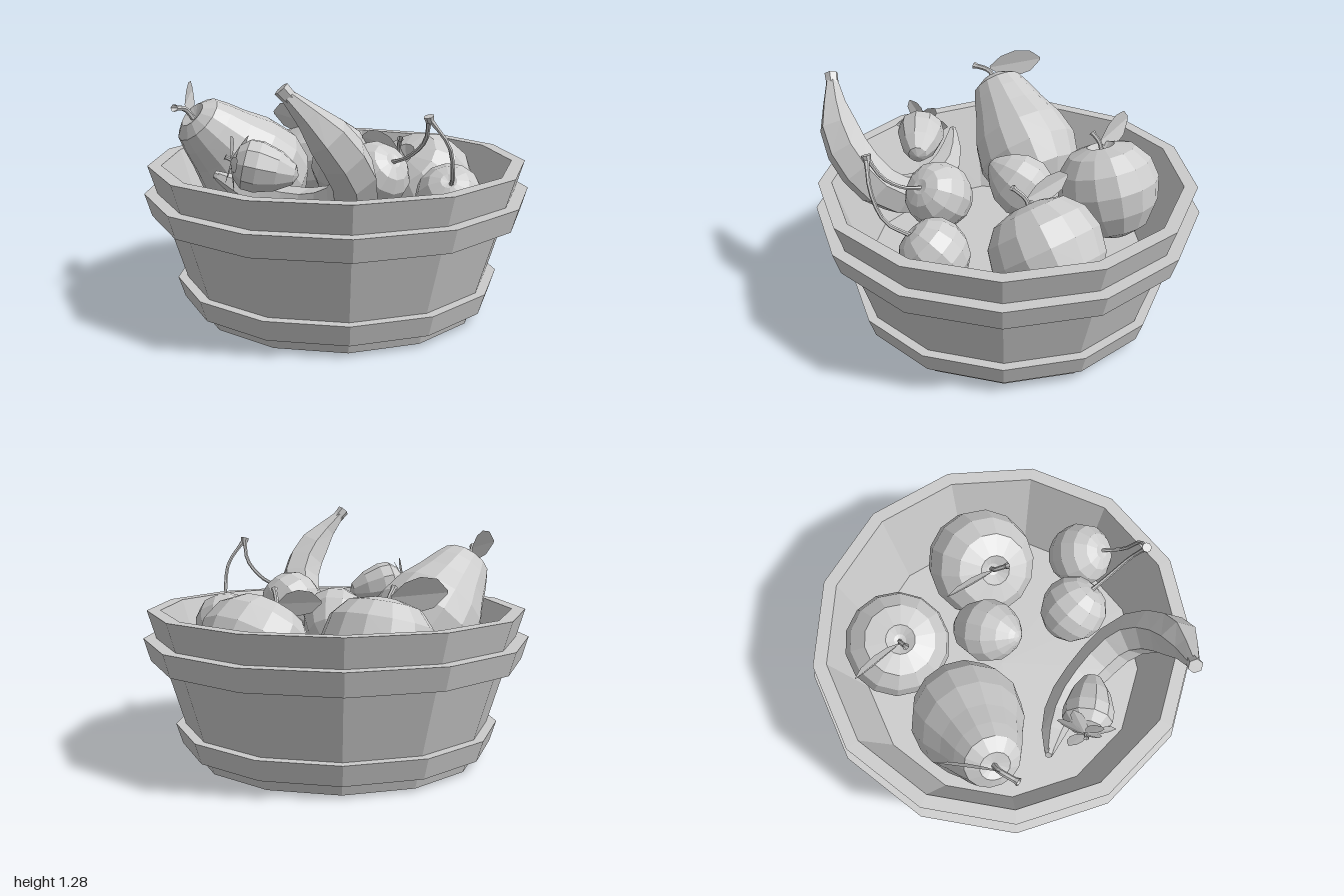
import * as THREE from 'three';

const V = (p) => new THREE.Vector3(...p);
const UP = new THREE.Vector3(0, 1, 0);
const solid = new THREE.MeshStandardMaterial({ color: 0xcccccc, flatShading: true });
const thin = new THREE.MeshStandardMaterial({ color: 0xcccccc, flatShading: true, side: THREE.DoubleSide });

function mesh(name, geometry, material = solid) {
  const m = new THREE.Mesh(geometry, material);
  m.name = name;
  return m;
}

// Turned body, profile listed as [radius, height] from bottom to top
function turned(name, profile, sides, start = 0) {
  const pts = profile.map(([r, y]) => new THREE.Vector2(r, y));
  return mesh(name, new THREE.LatheGeometry(pts, sides, start));
}

// Place an object with its own up direction along axis
function place(object, position, axis) {
  object.position.copy(V(position));
  object.quaternion.setFromUnitVectors(UP, V(axis).normalize());
  return object;
}

// Tube along a smooth path; radii are spread evenly along its length
function taperedTube(name, path, radii, sides) {
  const curve = new THREE.CatmullRomCurve3(path.map(V));
  const n = radii.length - 1;
  const geo = new THREE.TubeGeometry(curve, n, 1, sides, false);
  const pos = geo.attributes.position;
  const v = new THREE.Vector3();
  for (let i = 0; i <= n; i++) {
    const c = curve.getPointAt(i / n);
    for (let j = 0; j <= sides; j++) {
      const k = i * (sides + 1) + j;
      v.fromBufferAttribute(pos, k).sub(c).multiplyScalar(radii[i]).add(c);
      pos.setXYZ(k, v.x, v.y, v.z);
    }
  }
  return mesh(name, geo, thin);
}

const stem = (name, path, r) => taperedTube(name, path, [r * 1.2, r, r, r, r, r, r, r, r * 1.5], 6);

// Rounded leaf from base to tip, folded slightly along its middle
function leaf(name, base, tip, side, width) {
  const b = V(base), t = V(tip), s = V(side).normalize();
  const fold = t.clone().sub(b).cross(s).normalize().multiplyScalar(width * 0.15);
  const rows = [[0, 0.1], [0.22, 0.75], [0.5, 1], [0.8, 0.8], [1, 0.1]];
  const pos = [], idx = [];
  rows.forEach(([u, w], i) => {
    const c = b.clone().lerp(t, u);
    for (const e of [-1, 0, 1]) {
      const p = c.clone().addScaledVector(s, e * w * width).addScaledVector(fold, Math.abs(e) * w);
      pos.push(p.x, p.y, p.z);
    }
    if (i === 0) return;
    for (const k of [0, 1]) {
      const a = (i - 1) * 3 + k;
      idx.push(a, a + 1, a + 4, a, a + 4, a + 3);
    }
  });
  const geo = new THREE.BufferGeometry();
  geo.setAttribute('position', new THREE.Float32BufferAttribute(pos, 3));
  geo.setIndex(idx);
  geo.computeVertexNormals();
  return mesh(name, geo, thin);
}

// Thirteen-sided tub with two hoops
function createTub() {
  const tub = new THREE.Group();
  tub.name = 'tub';
  const start = Math.PI / 2;
  tub.add(turned('tubWall', [[0, 0], [0.75, 0], [0.985, 0.775], [0.915, 0.775], [0.768, 0.29], [0, 0.29]], 13, start));
  const hoop = (name, y0, r0, y1, r1) =>
    turned(name, [[r0 - 0.08, y0], [r0, y0], [r1, y1], [r1 - 0.08, y1]], 13, start);
  tub.add(hoop('lowerHoop', 0.065, 0.819, 0.173, 0.853));
  tub.add(hoop('upperHoop', 0.512, 0.972, 0.63, 1.007));
  tub.position.x = -0.0147;
  return tub;
}

function createApple(name, position, axis, scale) {
  const apple = turned(name, [[0, -0.21], [0.08, -0.25], [0.18, -0.2], [0.25, -0.09], [0.275, 0.03],
    [0.25, 0.14], [0.18, 0.22], [0.075, 0.25], [0.03, 0.215], [0, 0.205]], 14);
  apple.scale.setScalar(scale);
  return place(apple, position, axis);
}

function createStrawberry() {
  const berry = new THREE.Group();
  berry.name = 'strawberry';
  berry.add(turned('strawberryBody', [[0, -0.185], [0.05, -0.165], [0.1, -0.085], [0.128, 0.01],
    [0.125, 0.07], [0.085, 0.115], [0, 0.13]], 10));
  // Leaves droop over the shoulder, every third one curls up
  for (let i = 0; i < 6; i++) {
    const a = (i / 6) * Math.PI * 2, c = Math.cos(a), s = Math.sin(a);
    berry.add(leaf('strawberryLeaf', [0.01 * c, 0.145, 0.01 * s],
      [0.145 * c, i % 3 ? 0.095 : 0.16, 0.145 * s], [-s, 0, c], 0.038));
  }
  berry.add(stem('strawberryStem', [[0, 0.12, 0], [0.005, 0.145, 0], [0.015, 0.175, 0]], 0.01));
  return place(berry, [-0.085, 0.83, 0.595], [-0.8, 0.2, 0.42]);
}

export function createModel() {
  const model = new THREE.Group();
  model.name = 'fruitTub';
  model.add(createTub());

  // Apples
  model.add(createApple('rightApple', [-0.365, 0.63, -0.435], [-0.08, 0.93, 0.28], 1.01));
  model.add(stem('rightAppleStem', [[-0.385, 0.82, -0.375], [-0.4, 0.88, -0.35], [-0.41, 0.925, -0.3]], 0.012));
  model.add(leaf('rightAppleLeaf', [-0.41, 0.88, -0.35], [-0.69, 0.92, -0.39], [-0.1, 1, 0.1], 0.085));
  model.add(createApple('leftApple', [0.3, 0.575, -0.405], [-0.22, 0.75, 0.6], 1.07));
  model.add(stem('leftAppleStem', [[0.245, 0.75, -0.27], [0.23, 0.81, -0.24], [0.265, 0.88, -0.18]], 0.012));
  model.add(leaf('leftAppleLeaf', [0.22, 0.81, -0.24], [-0.05, 0.84, -0.33], [0.05, 1, 0.15], 0.065));

  // Pear leaning on the rim
  const pear = turned('pear', [[0, -0.25], [0.06, -0.27], [0.16, -0.235], [0.255, -0.14], [0.292, 0], [0.265, 0.14],
    [0.21, 0.27], [0.172, 0.38], [0.14, 0.455], [0.075, 0.495], [0.03, 0.48], [0, 0.47]], 14);
  model.add(place(pear, [-0.46, 0.68, 0.115], [-0.19, 0.38, 0.355]));
  model.add(stem('pearStem', [[-0.625, 0.99, 0.42], [-0.64, 1.05, 0.47], [-0.63, 1.07, 0.57]], 0.014));
  model.add(leaf('pearLeaf', [-0.645, 1.07, 0.47], [-0.8, 1.12, 0.22], [-0.1, 1, 0.1], 0.075));

  // Lemon in the middle
  const lemon = turned('lemon', [[0, -0.2], [0.06, -0.185], [0.125, -0.12], [0.167, 0], [0.15, 0.09],
    [0.105, 0.155], [0.055, 0.2], [0.03, 0.218], [0, 0.225]], 12);
  model.add(place(lemon, [-0.035, 0.71, -0.09], [0.15, 0.5, 0.75]));

  // Pair of cherries joined at the stem tip
  const cherry = [[0, -0.17], [0.065, -0.16], [0.125, -0.118], [0.163, -0.05], [0.172, 0.02],
    [0.15, 0.095], [0.1, 0.145], [0.04, 0.162], [0, 0.155]];
  model.add(place(turned('innerCherry', cherry, 12), [0.32, 0.755, 0.21], [0.75, 0.62, 0.2]));
  model.add(place(turned('outerCherry', cherry, 12), [0.645, 0.645, 0.03], [0.25, 0.72, 0.65]));
  model.add(stem('innerCherryStem', [[0.43, 0.845, 0.24], [0.53, 0.885, 0.27], [0.64, 0.98, 0.315], [0.68, 1.09, 0.365]], 0.01));
  model.add(stem('outerCherryStem', [[0.69, 0.74, 0.12], [0.745, 0.81, 0.23], [0.755, 0.96, 0.3], [0.685, 1.09, 0.365]], 0.01));
  const knot = mesh('cherryStemTip', new THREE.CylinderGeometry(0.025, 0.018, 0.03, 8));
  model.add(place(knot, [0.682, 1.09, 0.365], [-0.1, 1, 0.3]));

  // Banana hooked over the rim
  model.add(taperedTube('banana', [[0.27, 1.225, 0.885], [0.3, 1.18, 0.855], [0.355, 1.11, 0.81], [0.42, 0.98, 0.72],
    [0.425, 0.83, 0.595], [0.36, 0.72, 0.51], [0.2, 0.64, 0.465], [0, 0.62, 0.455], [-0.2, 0.66, 0.49], [-0.37, 0.75, 0.565]],
  [0.032, 0.062, 0.1, 0.112, 0.115, 0.115, 0.112, 0.108, 0.1, 0.095, 0.082, 0.06, 0.025], 6));
  const end = mesh('bananaStemEnd', new THREE.CylinderGeometry(0.036, 0.032, 0.06, 6));
  model.add(place(end, [0.263, 1.235, 0.89], [-0.5, 0.75, 0.45]));
  const tip = mesh('bananaTip', new THREE.CylinderGeometry(0.02, 0.026, 0.03, 6));
  model.add(place(tip, [-0.372, 0.752, 0.566], [-0.8, 0.45, 0.35]));

  model.add(createStrawberry());
  return model;
}
